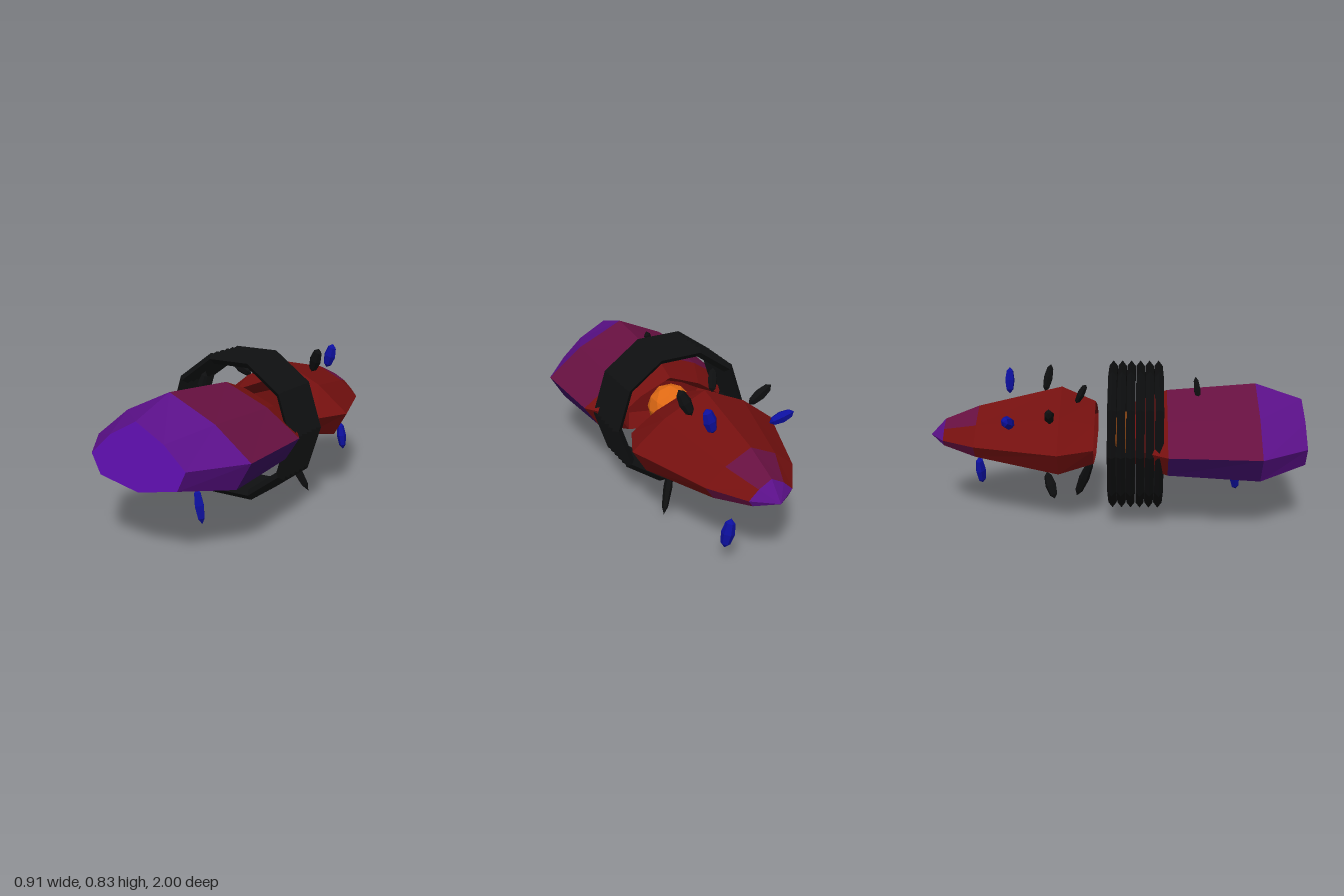
import * as THREE from 'three';

const RED = 0x74100f, WINE = 0x661040, PURPLE = 0x6410b8, VIOLET = 0x5a1088, DEEP = 0x3e0e66;
const BLACK = 0x0e0f10, BLUE = 0x0d10a0, ORANGE = 0xe06a14;

const flat = color => new THREE.MeshStandardMaterial({ color, flatShading: true });

function add(parent, name, geometry, color) {
  const mesh = new THREE.Mesh(geometry, flat(color));
  mesh.name = name;
  parent.add(mesh);
  return mesh;
}

// Eight-sided hull cross-section, clockwise from the top ridge
function section([z, w, top, side, bottom]) {
  const half = [
    [0, top],
    [0.57 * w, side + 0.56 * (top - side)],
    [w, side],
    [0.82 * w, bottom + 0.32 * (side - bottom)],
    [0, bottom],
  ];
  const mirrored = half.slice(1, 4).reverse().map(([x, y]) => [-x, y]);
  return [...half, ...mirrored].map(([x, y]) => [x, y, z]);
}

// Panels between two cross-sections, for the listed sides only
function band(a, b, sides) {
  const pos = [];
  for (const i of sides) {
    const j = (i + 1) % 8;
    pos.push(...a[i], ...a[j], ...b[i], ...a[j], ...b[j], ...b[i]);
  }
  const g = new THREE.BufferGeometry();
  g.setAttribute('position', new THREE.Float32BufferAttribute(pos, 3));
  g.computeVertexNormals();
  return g;
}

// Sections run front to back; each band has colours for ridge, flank and underside
function hull(name, rows, colors) {
  const group = new THREE.Group();
  group.name = name;
  const rings = rows.map(section);
  colors.forEach(([ridge, flank, under], k) => {
    const [a, b] = [rings[k], rings[k + 1]];
    add(group, name + 'Ridge', band(a, b, [0, 7]), ridge);
    add(group, name + 'Flank', band(a, b, [1, 6]), flank);
    add(group, name + 'Underside', band(a, b, [2, 3, 4, 5]), under);
  });
  return group;
}

// Faceted shard pointing from one tip to the other
function shard(from, to, radius, color) {
  const a = new THREE.Vector3(...from), b = new THREE.Vector3(...to);
  const g = new THREE.SphereGeometry(1, 6, 4);
  g.scale(radius, a.distanceTo(b) / 2, radius * 0.75);
  const mesh = new THREE.Mesh(g, flat(color));
  mesh.name = 'shard';
  mesh.position.copy(a).add(b).multiplyScalar(0.5);
  mesh.quaternion.setFromUnitVectors(new THREE.Vector3(0, 1, 0), b.sub(a).normalize());
  return mesh;
}

export function createModel() {
  const model = new THREE.Group();
  model.name = 'segmentedCraft';

  // Front hull: blunt nose, wide belly, recessed cup at the rear
  model.add(hull('frontHull', [
    [1, 0, 0.47, 0.47, 0.47],
    [1, 0.275, 0.655, 0.463, 0.317],
    [0.75, 0.457, 0.74, 0.467, 0.26],
    [0.28, 0.435, 0.70, 0.467, 0.29],
    [0.1, 0.31, 0.63, 0.467, 0.335],
    [0.22, 0.24, 0.57, 0.467, 0.385],
    [0.22, 0, 0.467, 0.467, 0.467],
  ], [
    [PURPLE, PURPLE, PURPLE],
    [VIOLET, VIOLET, VIOLET],
    [WINE, WINE, DEEP],
    [RED, RED, RED],
    [RED, RED, RED],
    [RED, RED, RED],
  ]));

  // Rear hull: cup facing forward, tapering to a pointed tail
  model.add(hull('rearHull', [
    [-0.18, 0, 0.467, 0.467, 0.467],
    [-0.18, 0.25, 0.57, 0.467, 0.385],
    [-0.1, 0.33, 0.635, 0.467, 0.333],
    [-0.28, 0.41, 0.715, 0.465, 0.28],
    [-0.73, 0.245, 0.605, 0.45, 0.352],
    [-0.915, 0.12, 0.53, 0.443, 0.395],
    [-1, 0, 0.44, 0.44, 0.44],
  ], [
    [RED, RED, RED],
    [RED, RED, RED],
    [RED, RED, RED],
    [RED, RED, RED],
    [WINE, RED, WINE],
    [VIOLET, VIOLET, VIOLET],
  ]));

  // Glowing core held between the hulls
  add(model, 'core', new THREE.IcosahedronGeometry(0.125, 1), ORANGE).position.set(0, 0.46, 0.1);

  // Ribbed ten-sided collar
  const collar = new THREE.Group();
  collar.name = 'collar';
  for (let i = 0; i < 6; i++) {
    const rib = add(collar, 'collarRib', new THREE.TorusGeometry(0.371, 0.029, 4, 10), BLACK);
    rib.scale.z = 0.78;
    rib.position.set(0, 0.45, -0.007 + i * 0.0488);
  }
  model.add(collar);

  // Floating shards above and below the hulls
  const shards = new THREE.Group();
  shards.name = 'shards';
  [
    [[-0.06, 0.64, 0.45], [-0.02, 0.78, 0.43], 0.026, BLACK],
    [[-0.09, 0.65, -0.2], [-0.125, 0.76, -0.145], 0.028, BLACK],
    [[0.13, 0.65, -0.385], [0.19, 0.79, -0.355], 0.035, BLACK],
    [[0.12, 0.64, -0.58], [0.16, 0.78, -0.58], 0.036, BLUE],
    [[-0.24, 0.58, -0.52], [-0.365, 0.63, -0.55], 0.036, BLUE],
    [[-0.24, 0.6, -0.325], [-0.375, 0.68, -0.32], 0.036, BLACK],
    [[0.08, 0.255, 0.66], [0.13, 0.085, 0.685], 0.034, BLUE],
    [[0.11, 0.26, -0.13], [0.21, 0, -0.225], 0.03, BLACK],
    [[-0.09, 0.26, -0.365], [-0.14, 0.125, -0.32], 0.03, BLACK],
    [[0.12, 0.265, -0.77], [0.15, 0.1, -0.76], 0.035, BLUE],
  ].forEach(s => shards.add(shard(...s)));
  model.add(shards);

  return model;
}
